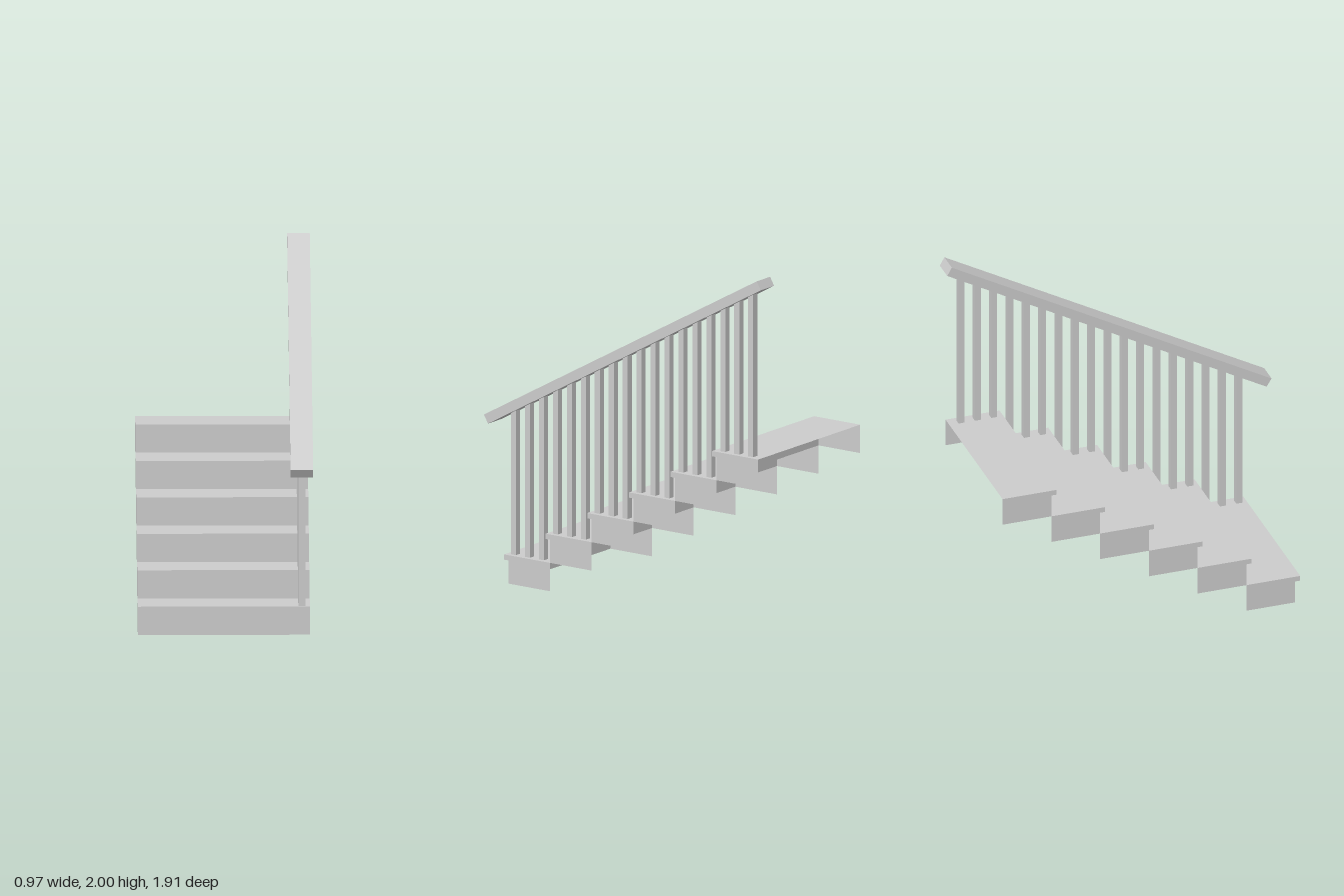
import * as THREE from 'three';

const STEPS = 6, RISE = 0.1625, RUN = 0.2865;
const LEFT = 0.465, RIGHT = -0.49;      // stair sides
const FRONT = 0.796;                    // first riser
const NOSE = 0.03, NOSE_H = 0.03;       // tread overhang

const solid = new THREE.MeshStandardMaterial({ color: 0xcccccc, flatShading: true });
const shell = new THREE.MeshStandardMaterial({ color: 0xcccccc, flatShading: true, side: THREE.DoubleSide });

function addMesh(parent, name, geometry, material) {
  const mesh = new THREE.Mesh(geometry, material);
  mesh.name = name;
  parent.add(mesh);
  return mesh;
}

const shapeOf = (points) => new THREE.Shape(points.map(([z, y]) => new THREE.Vector2(z, y)));

// Solid prism from a (z, y) outline, running from x0 to x1
function prism(points, x0, x1) {
  const g = new THREE.ExtrudeGeometry(shapeOf(points), { depth: x1 - x0, bevelEnabled: false });
  return g.rotateY(-Math.PI / 2).translate(x1, 0, 0);
}

// Step profile as (z, y): tread back, nose top, nose underside, riser top, riser foot
const profile = [
  [-RUN, RISE], [NOSE, RISE], [NOSE, RISE - NOSE_H], [0, RISE - NOSE_H], [0, 0],
];

// Tread, nosing and riser as one folded sheet
function foldedSheet() {
  const g = new THREE.PlaneGeometry(LEFT - RIGHT, 1, 1, profile.length - 1);
  const pos = g.attributes.position;
  for (let i = 0; i < pos.count; i++) {
    const [z, y] = profile[Math.floor(i / 2)];
    pos.setXYZ(i, i % 2 ? LEFT : RIGHT, y, z);
  }
  const flat = g.toNonIndexed();
  flat.computeVertexNormals();
  return flat;
}

export function createModel() {
  const model = new THREE.Group();
  model.name = 'staircase';

  // Hollow steps, open underneath and at the back
  const sheet = foldedSheet();
  const cheek = new THREE.ShapeGeometry(shapeOf([...profile, [-RUN, 0]])).rotateY(-Math.PI / 2);
  for (let i = 0; i < STEPS; i++) {
    const step = new THREE.Group();
    step.name = `step${i + 1}`;
    step.position.set(0, i * RISE, FRONT - i * RUN);
    addMesh(step, 'treadAndRiser', sheet, shell);
    addMesh(step, 'leftCheek', cheek, shell).position.x = LEFT;
    addMesh(step, 'rightCheek', cheek, shell).position.x = RIGHT;
    model.add(step);
  }

  // Sloping handrail
  addMesh(model, 'handrail',
    prism([[0.925, 0.9], [0.954, 0.947], [-0.925, 2], [-0.952, 1.952]], 0.355, 0.48), solid);

  // Three balusters per step, cut to the slope of the rail
  const railUnderside = (z) => 0.9 + (0.925 - z) * (1.052 / 1.877);
  const half = 0.0175;
  for (let i = 0; i < STEPS * 3; i++) {
    const z = 0.78 - i * 0.096;
    const foot = (Math.floor(i / 3) + 1) * RISE;
    const a = z + half, b = z - half;
    addMesh(model, `baluster${i + 1}`,
      prism([[a, foot], [a, railUnderside(a)], [b, railUnderside(b)], [b, foot]], 0.4, 0.438), solid);
  }

  return model;
}
